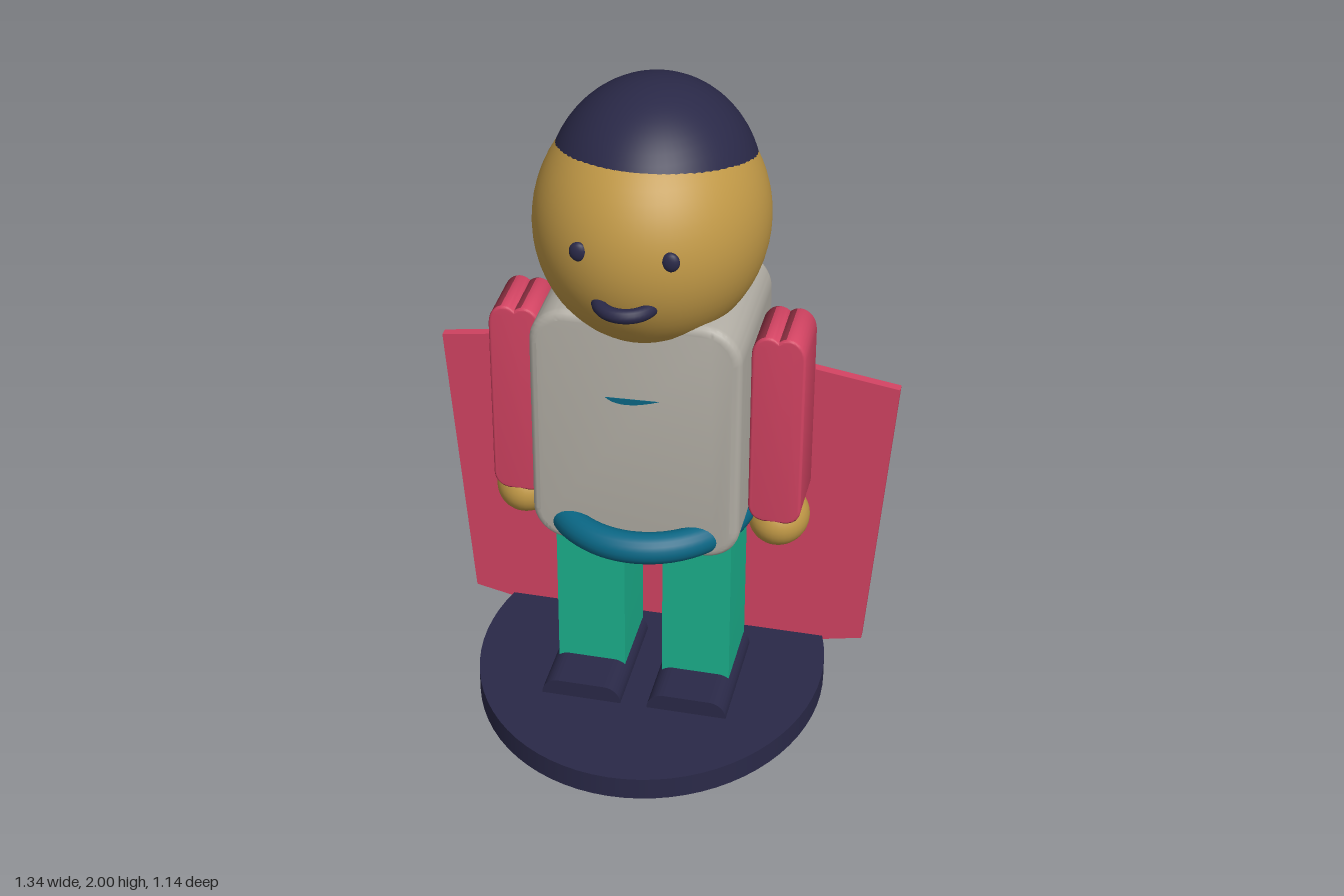
import * as THREE from 'three';
import { toCreasedNormals } from 'three/addons/utils/BufferGeometryUtils.js';

const material = (name, color) => Object.assign(new THREE.MeshStandardMaterial({ color }), { name });

export function createModel() {
  const navy = material('navy', 0x2a2948);
  const skin = material('tan', 0xc09846);
  const grey = material('warm grey', 0xb1ada4);
  const pink = material('raspberry', 0xd24362);
  const maroon = material('maroon', 0x8c2f41);
  const green = material('green', 0x1bb08c);
  const teal = material('teal', 0x0a6785);

  const model = new THREE.Group();
  model.name = 'figure';

  const add = (name, geometry, mat, x = 0, y = 0, z = 0) => {
    const mesh = new THREE.Mesh(geometry, mat);
    mesh.name = name;
    mesh.position.set(x, y, z);
    model.add(mesh);
    return mesh;
  };

  const ellipsoid = (rx, ry, rz, segments = 48) =>
    new THREE.SphereGeometry(1, segments, segments / 2).scale(rx, ry, rz);

  // Extrude along z, centred in depth, with an optional soft edge
  const slab = (shape, depth, bevel = 0) => {
    const g = new THREE.ExtrudeGeometry(shape, {
      depth: depth - 2 * bevel, curveSegments: 10, bevelEnabled: bevel > 0,
      bevelThickness: bevel, bevelSize: bevel, bevelOffset: -bevel, bevelSegments: 4,
    });
    g.translate(0, 0, bevel - depth / 2);
    g.clearGroups();
    return toCreasedNormals(g, 0.6);
  };

  // Two-tone cloth: group 0 is the outer cloth, group 1 the darker reverse
  const twoTone = (g) => {
    const n = g.attributes.normal;
    for (let i = 0; i < n.count; i += 3) {
      const reverse = n.getX(i) + n.getZ(i) < -0.5 || n.getY(i) < -0.5;
      g.addGroup(i, 3, reverse ? 1 : 0);
    }
    return g;
  };
  const cloth = [pink, maroon];

  // Rounded rectangle centred on x, with separate top and bottom radii
  const roundedRect = (w, y0, y1, rTop, rBottom) => {
    const h = w / 2;
    const s = new THREE.Shape();
    s.moveTo(-h + rBottom, y0);
    s.lineTo(h - rBottom, y0);
    if (rBottom) s.absarc(h - rBottom, y0 + rBottom, rBottom, -Math.PI / 2, 0);
    s.lineTo(h, y1 - rTop);
    s.absarc(h - rTop, y1 - rTop, rTop, 0, Math.PI / 2);
    s.lineTo(-h + rTop, y1);
    s.absarc(-h + rTop, y1 - rTop, rTop, Math.PI / 2, Math.PI);
    s.lineTo(-h, y0 + rBottom);
    if (rBottom) s.absarc(-h + rBottom, y0 + rBottom, rBottom, Math.PI, Math.PI * 1.5);
    return s;
  };

  // Oval stand
  const stand = new THREE.CylinderGeometry(1, 1, 0.07, 72).scale(0.512, 1, 0.572);
  add('stand', stand, navy, 0, 0.082, 0);

  // Stiff cape, passing down through the stand
  const cape = new THREE.Shape([
    [0, 0], [0.6, 0.13], [0.672, 1.03], [0, 1.13], [-0.672, 1.03], [-0.6, 0.13],
  ].map(([x, y]) => new THREE.Vector2(x, y)));
  add('cape', twoTone(slab(cape, 0.027)), cloth, 0, 0, -0.207);

  // Torso, belt and small chest mark
  add('torso', slab(roundedRect(0.59, 0.665, 1.42, 0.11, 0.1), 0.452, 0.025), grey);
  const belt = new THREE.TorusGeometry(0.296, 0.045, 20, 72).rotateX(Math.PI / 2).scale(0.92, 1, 1);
  add('belt', belt, teal, 0, 0.725, 0);
  const mark = new THREE.Shape();
  mark.moveTo(-0.08, 1.167);
  mark.quadraticCurveTo(-0.04, 1.13, 0.07, 1.172);
  mark.lineTo(-0.08, 1.167);
  add('chestMark', slab(mark, 0.004), teal, 0, 0, 0.2255);

  // Arm outline with a shallow groove along its top
  const arm = new THREE.Shape();
  arm.moveTo(-0.075, 0.77);
  arm.quadraticCurveTo(-0.072, 0.725, -0.03, 0.72);
  arm.lineTo(0.03, 0.72);
  arm.quadraticCurveTo(0.072, 0.725, 0.075, 0.77);
  arm.lineTo(0.075, 1.27);
  arm.bezierCurveTo(0.073, 1.32, 0.03, 1.345, 0, 1.317);
  arm.bezierCurveTo(-0.03, 1.345, -0.073, 1.32, -0.075, 1.27);
  arm.lineTo(-0.075, 0.77);
  const armGeometry = twoTone(slab(arm, 0.18, 0.008));

  const handGeometry = ellipsoid(0.088, 0.083, 0.1, 32);
  const legGeometry = slab(roundedRect(0.2, 0.14, 0.69, 0.025, 0), 0.234);
  const shoeGeometry = slab(roundedRect(0.235, 0.11, 0.168, 0.05, 0), 0.36);
  const eyeGeometry = ellipsoid(0.025, 0.028, 0.015, 20);

  for (const [side, s] of [['left', 1], ['right', -1]]) {
    add(side + 'Arm', armGeometry, cloth, s * 0.37, 0, 0);
    add(side + 'Hand', handGeometry, skin, s * 0.37, 0.69, 0);
    add(side + 'Leg', legGeometry, green, s * 0.156, 0, 0);
    add(side + 'Shoe', shoeGeometry, navy, s * 0.157, 0, 0.07);
    add(side + 'Eye', eyeGeometry, navy, s * 0.122, 1.672, 0.325);
  }

  // Head, with a smaller ellipsoid breaking through as the hair
  add('head', ellipsoid(0.321, 0.345, 0.358, 64), skin, 0, 1.62, 0);
  add('hair', ellipsoid(0.29, 0.31, 0.327, 64), navy, 0, 1.69, -0.021);

  // Mouth ring, half sunk into the face
  const mouth = new THREE.TorusGeometry(0.072, 0.02, 14, 40).rotateX(Math.PI / 2);
  add('mouth', mouth, navy, 0, 1.525, 0.306);

  return model;
}
